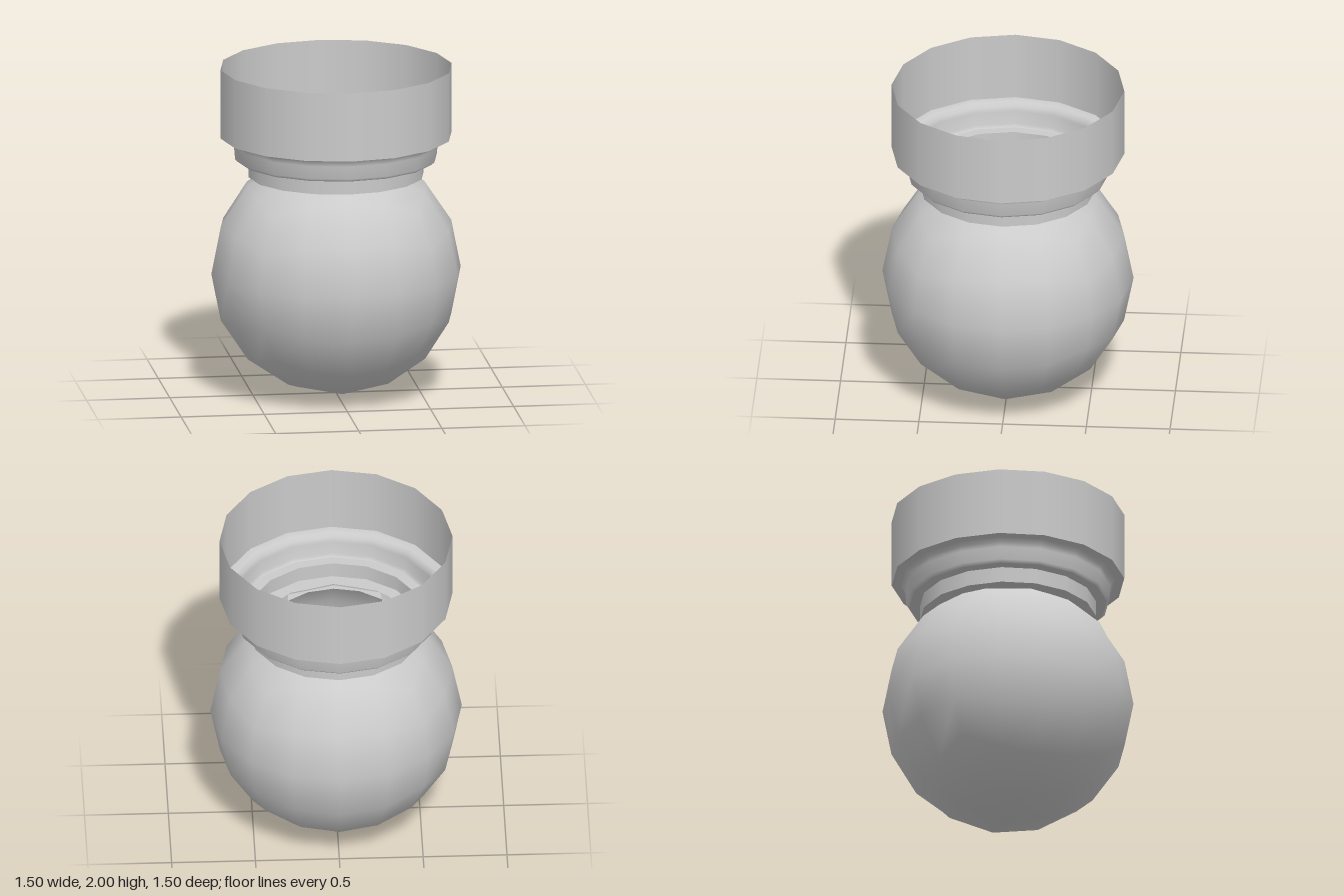
import * as THREE from 'three';

const material = new THREE.MeshStandardMaterial({ color: 0xcccccc, side: THREE.DoubleSide });
const RADIUS = 0.75;

// Hollow globe: a subdivided cube rounded to a sphere, with a square mouth cut in its top
function createGlobe() {
  const geometry = new THREE.BoxGeometry(2, 2, 2, 4, 4, 4);
  const position = geometry.attributes.position;
  const normal = geometry.attributes.normal;

  // Drop the four middle cells of the top face
  const source = geometry.index.array;
  const kept = [];
  for (let i = 0; i < source.length; i += 3) {
    const tri = [source[i], source[i + 1], source[i + 2]];
    const inMouth = tri.every((v) => position.getY(v) > 0.99
      && Math.abs(position.getX(v)) < 0.6 && Math.abs(position.getZ(v)) < 0.6);
    if (!inMouth) kept.push(...tri);
  }
  geometry.setIndex(kept);

  // Even out the cells, then push every vertex onto the sphere
  const spread = (s, a, b) => {
    const side = Math.min(Math.abs(a), Math.abs(b));
    return Math.tan(s * Math.PI / 4) * (1 + 0.17 * side * (1 - Math.abs(s)));
  };
  const p = new THREE.Vector3();
  for (let i = 0; i < position.count; i++) {
    const { x, y, z } = p.fromBufferAttribute(position, i);
    p.set(spread(x, y, z), spread(y, z, x), spread(z, x, y)).normalize();
    normal.setXYZ(i, p.x, p.y, p.z);
    position.setXYZ(i, p.x * RADIUS, p.y * RADIUS, p.z * RADIUS);
  }
  const mesh = new THREE.Mesh(geometry, material);
  mesh.name = 'globe';
  mesh.position.y = 0.754;
  return mesh;
}

// Thin 16-sided turned shell from [radius, height] points
function turned(name, points) {
  const profile = points.map(([r, y]) => new THREE.Vector2(r, y));
  const mesh = new THREE.Mesh(new THREE.LatheGeometry(profile, 16), material);
  mesh.name = name;
  return mesh;
}

export function createModel() {
  const model = new THREE.Group();
  model.name = 'globeWithCollar';
  model.add(createGlobe());

  // Open collar, in separate shells so that the edges between them stay sharp
  const collar = new THREE.Group();
  collar.name = 'collar';
  collar.add(
    turned('neckFloor', [[0.4, 1.34], [0.527, 1.34]]),
    turned('neckWall', [[0.527, 1.34], [0.527, 1.435]]),
    turned('stepFloor', [[0.527, 1.435], [0.59, 1.435]]),
    turned('stepWall', [[0.59, 1.435], [0.607, 1.452], [0.614, 1.53], [0.624, 1.56], [0.645, 1.58], [0.695, 1.582]]),
    turned('rimWall', [[0.695, 1.582], [0.695, 2]]),
  );
  model.add(collar);
  return model;
}
